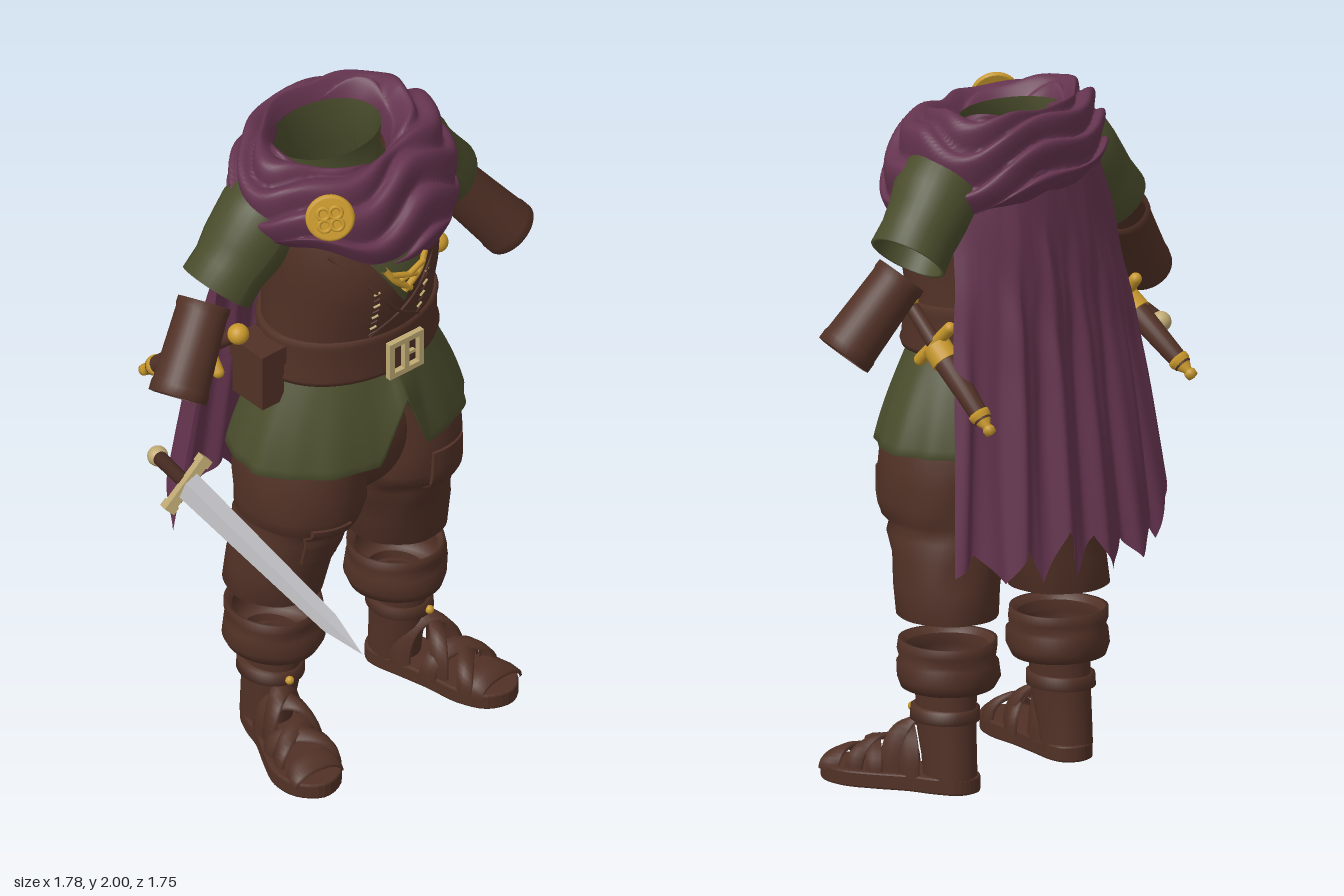
import * as THREE from 'three';

const V = (x, y, z) => new THREE.Vector3(x, y, z);
const mat = (name, color, side = THREE.DoubleSide) => Object.assign(new THREE.MeshStandardMaterial({ color, side }), { name });

// Grid surface through rows of points; wraps round when closed
function loft(rows, closed = true) {
  const n = rows[0].length, pos = [], idx = [];
  rows.forEach(r => r.forEach(p => pos.push(p.x, p.y, p.z)));
  for (let i = 0; i < rows.length - 1; i++)
    for (let j = 0; j < (closed ? n : n - 1); j++) {
      const k = (j + 1) % n, a = i * n + j, b = i * n + k;
      idx.push(a, a + n, b, b, a + n, b + n);
    }
  const g = new THREE.BufferGeometry();
  g.setAttribute('position', new THREE.Float32BufferAttribute(pos, 3));
  g.setIndex(idx);
  g.computeVertexNormals();
  return g;
}
// Oval sections [y, centreX, radiusX, centreZ, radiusZ], listed from top to bottom
function ovals(rows, bump = () => 0, n = 48) {
  return loft(rows.map(([y, cx, rx, cz, rz]) => Array.from({ length: n }, (_, j) => {
    const a = j / n * Math.PI * 2, s = 1 + bump(a, y);
    return V(cx + Math.sin(a) * rx * s, y, cz + Math.cos(a) * rz * s);
  })));
}
// Depth of the front of an oval-section surface
function frontZ(rows, x, y) {
  let i = 0;
  while (i < rows.length - 2 && rows[i + 1][0] > y) i++;
  const t = THREE.MathUtils.clamp((rows[i][0] - y) / (rows[i][0] - rows[i + 1][0]), 0, 1);
  const [, cx, rx, cz, rz] = rows[i].map((v, k) => THREE.MathUtils.lerp(v, rows[i + 1][k], t));
  return cz + rz * Math.sqrt(Math.max(0, 1 - ((x - cx) / rx) ** 2));
}
// Bends a flat geometry onto such a surface
function drape(geo, rows) {
  const p = geo.attributes.position;
  for (let i = 0; i < p.count; i++) p.setZ(i, p.getZ(i) + frontZ(rows, p.getX(i), p.getY(i)));
  geo.computeVertexNormals();
  return geo;
}
// Places a geometry standing on y = 0 so that it runs from a toward b
function along(geo, a, b) {
  const q = new THREE.Quaternion().setFromUnitVectors(V(0, 1, 0), b.clone().sub(a).normalize());
  return geo.applyQuaternion(q).translate(a.x, a.y, a.z);
}
const tube = (pts, r, n = 16) => new THREE.TubeGeometry(new THREE.CatmullRomCurve3(pts), n, r, 8);
const lathe = (pts, n = 32) => new THREE.LatheGeometry(pts.map(p => new THREE.Vector2(...p)), n);
function mirrored(geo) {
  const g = geo.clone().scale(-1, 1, 1), ix = g.index.array;
  for (let i = 0; i < ix.length; i += 3) [ix[i], ix[i + 1]] = [ix[i + 1], ix[i]];
  g.computeVertexNormals();
  return g;
}

export function createModel() {
  const purple = mat('purple cloth', 0x65344f), green = mat('green cloth', 0x4a4d2c);
  const brown = mat('brown leather', 0x513126), dark = mat('dark leather', 0x452920);
  const gold = mat('gold', 0xc8982c), pale = mat('pale brass', 0xc0aa74);
  const steel = mat('steel', 0xb4b4b8, THREE.FrontSide);
  const model = new THREE.Group(), body = new THREE.Group();
  body.name = 'outfit';
  body.position.x = 0.2;
  model.add(body);
  const add = (name, geo, m, parent = body) => {
    const mesh = new THREE.Mesh(geo, m);
    mesh.name = name;
    parent.add(mesh);
  };
  const pair = (name, geo, m) => { add('left ' + name, geo, m); add('right ' + name, mirrored(geo), m); };

  // Jerkin and inner collar
  const jerkin = [[1.92, 0, .19, -.5, .16], [1.85, 0, .25, -.48, .19], [1.75, 0, .27, -.455, .23], [1.65, 0, .268, -.435, .245],
    [1.55, 0, .263, -.435, .238], [1.45, 0, .262, -.44, .217], [1.38, 0, .268, -.445, .205], [1.25, 0, .27, -.45, .2]];
  add('jerkin', ovals(jerkin), brown);
  add('collar', ovals([[1.94, 0, .172, -.532, .128], [1.86, 0, .166, -.53, .122], [1.78, 0, .19, -.51, .15], [1.7, 0, .22, -.48, .19]]), green);

  // Neck opening, lacing and seams
  const on = (x, y, o) => V(x, y, frontZ(jerkin, x, y) + o);
  const line = (pts, o) => pts.map(p => on(p[0], p[1], o));
  add('neck opening', loft([1.7, 1.65, 1.6, 1.53].map(y => line([-1, -.5, 0, .5, 1].map(u => [u * (y - 1.525) * .65, y]), .006)), false), green);
  for (const s of [-1, 1]) {
    add('neck cord', tube(line([[s * .075, 1.67], [s * .045, 1.625], [-s * .012, 1.575]], .012), .01), gold);
    add('neck cross cord', tube(line([[s * .06, 1.65], [0, 1.63], [-s * .03, 1.62]], .014), .009), gold);
    add('jerkin seam', tube(line([[s * .2, 1.72], [s * .1, 1.6], [s * .02, 1.5], [-s * .09, 1.42]], 0), .006), brown);
    for (let i = 0; i < 8; i++) {
      const y = 1.43 + i * .022, x = s * (.085 + .001 * i);
      add('lace stitch', tube(line([[x - .009, y], [x, y + .003], [x + .009, y + .007]], .003), .0035, 4), i % 2 ? pale : dark);
    }
  }

  // Belt, buckle and pouch
  add('belt', ovals([[1.41, 0, .255, -.445, .19], [1.415, 0, .278, -.445, .212], [1.4, 0, .285, -.445, .219], [1.385, 0, .28, -.445, .214],
    [1.3, 0, .283, -.445, .214], [1.285, 0, .29, -.445, .219], [1.27, 0, .285, -.445, .215], [1.265, 0, .255, -.445, .19]]), brown);
  const corners = pts => pts.map(p => new THREE.Vector2(...p));
  const frame = new THREE.Shape(corners([[-.063, -.06], [.063, -.06], [.063, .06], [-.063, .06]]));
  for (const [x0, x1] of [[-.046, -.008], [.008, .046]])
    frame.holes.push(new THREE.Path(corners([[x0, -.043], [x0, .043], [x1, .043], [x1, -.043]])));
  add('buckle', new THREE.ExtrudeGeometry(frame, { depth: .018, bevelEnabled: false }).translate(.005, 1.34, -.208), pale);
  add('buckle prong', new THREE.BoxGeometry(.035, .01, .012).translate(.02, 1.34, -.198), pale);
  add('pouch', new THREE.BoxGeometry(.08, .17, .13).translate(-.315, 1.29, -.46), brown);
  add('pouch flap', new THREE.BoxGeometry(.092, .06, .14).translate(-.315, 1.36, -.46), brown);

  // Tunic skirt with a front notch
  const skirt = [];
  for (let i = 0; i <= 13; i++) {
    const t = Math.min(1, i / 12), tuck = i > 12 ? .97 : 1;
    skirt.push(Array.from({ length: 128 }, (_, j) => {
      const a = j / 128 * Math.PI * 2, e = Math.sin(t * Math.PI / 2) * .4 + t * .6;
      const fold = 1 + .014 * t * Math.sin(9 * a + 1) + .008 * t * Math.sin(17 * a);
      const x = Math.sin(a) * (.26 + .122 * e) * fold * tuck;
      const notch = Math.cos(a) > 0 ? Math.max(0, 1 - Math.abs(x) / .085) * .19 : 0;
      return V(x, 1.28 - t * (.285 - notch), -.445 + Math.cos(a) * (.19 + .072 * e) * fold * tuck);
    }));
  }
  add('tunic skirt', loft(skirt), green);

  // Sleeves and bracers
  const wrinkled = (geo, amp) => {
    const p = geo.attributes.position;
    for (let i = 0; i < p.count; i++) {
      const s = 1 + amp * Math.sin(p.getY(i) * 60 + 2 * Math.atan2(p.getX(i), p.getZ(i)));
      p.setX(i, p.getX(i) * s); p.setZ(i, p.getZ(i) * s);
    }
    geo.computeVertexNormals();
    return geo;
  };
  pair('sleeve', along(wrinkled(lathe([[.085, 0], [.112, .04], [.126, .1], [.127, .16], [.118, .22], [.11, .28], [.112, .35], [.1, .35], [.1, .25]]), .02),
    V(.19, 1.86, -.505), V(.42, 1.595, -.52)), green);
  pair('bracer', along(lathe([[.066, .04], [.068, 0], [.077, 0], [.078, .02], [.075, .03], [.078, .13], [.082, .24], [.085, .25], [.085, .278], [.074, .28], [.07, .2]]),
    V(.455, 1.555, -.53), V(.623, 1.335, -.455)), brown);

  // Wrapped cowl with puffed folds
  const profile = new THREE.CatmullRomCurve3([V(.175, 1.86, .13), V(.185, 1.94, .15), V(.235, 1.985, .19), V(.305, 1.94, .235),
    V(.345, 1.85, .265), V(.35, 1.76, .28), V(.325, 1.715, .265), V(.27, 1.74, .22)]);
  const cowl = [];
  for (let i = 0; i <= 72; i++) {
    const v = i / 72, p = profile.getPoint(v), low = THREE.MathUtils.smoothstep(v, .3, .85);
    cowl.push(Array.from({ length: 128 }, (_, j) => {
      const a = j / 128 * Math.PI * 2, c = Math.cos(a), s = Math.sin(a);
      const wrap = 19 * v + 1.7 * Math.sin(2 * a + 1) + .8 * Math.sin(5 * a) + 1.1 * c;
      const f = .075 * Math.sin(v * Math.PI) * (Math.abs(Math.sin(wrap)) - .62);
      const dip = low * (.045 * c + .035 * s + .03 * Math.exp(-8 * (1 - c)) - .06 * Math.exp(-((a - 5.45) ** 2) * 5))
        + (1 - low) * .04 * Math.max(0, c);
      const cz = THREE.MathUtils.lerp(-.53, -.47, Math.min(1, v * 1.6));
      return V(s * p.x * (1 + f) + .01, p.y - dip + f * .5, cz + c * p.z * (1 + f));
    }));
  }
  add('cowl', loft(cowl), purple);

  // Cowl brooch
  const brooch = new THREE.Group();
  brooch.name = 'brooch';
  brooch.position.set(-.225, 1.89, -.255);
  brooch.quaternion.setFromUnitVectors(V(0, 0, 1), V(-.6, .3, .74).normalize());
  body.add(brooch);
  add('brooch plate', new THREE.CylinderGeometry(.06, .066, .02, 32).rotateX(Math.PI / 2), gold, brooch);
  add('brooch rim', new THREE.TorusGeometry(.06, .01, 10, 36), gold, brooch);
  for (let i = 0; i < 4; i++) {
    const a = Math.PI / 4 + i * Math.PI / 2;
    add('brooch petal', new THREE.TorusGeometry(.017, .006, 8, 16).translate(Math.cos(a) * .025, Math.sin(a) * .025, .014), gold, brooch);
  }

  // Ragged cape, smooth over the shoulders and pleated below
  const cape = [];
  for (let i = 0; i <= 30; i++) {
    const v = i / 30, loose = THREE.MathUtils.smoothstep(v, .12, .75);
    cape.push(Array.from({ length: 141 }, (_, j) => {
      const u = 1 - j / 70, tooth = Math.abs(((u + 1) * 3.5) % 1 * 2 - 1);
      const hem = .64 + .05 * u * u + (.11 + .04 * Math.sin(5 * u)) * (1 - tooth);
      const pleat = loose * (.02 * Math.sin(u * 17 + .8 * Math.sin(v * 3)) + .006 * Math.sin(u * 37 + 1)) + .006 * Math.sin(u * 9 + v * 25) * (1 - loose);
      return V(u * (.255 + .185 * Math.pow(v, .75)) - .02 * v, 1.89 - v * (1.89 - hem), -.722 - .112 * v + .15 * Math.pow(Math.abs(u), 3) + pleat);
    }));
  }
  add('cape', loft(cape, false), purple);

  // Trousers with seat and knee patches
  const leg = [[1.2, .13, .12, -.455, .175], [1.1, .155, .15, -.45, .185], [1, .172, .175, -.445, .202], [.9, .178, .18, -.44, .202],
    [.83, .18, .178, -.44, .2], [.785, .18, .172, -.445, .195], [.765, .185, .155, -.455, .17], [.74, .19, .166, -.46, .172], [.68, .2, .158, -.47, .162],
    [.6, .22, .15, -.485, .151], [.51, .226, .142, -.495, .147], [.508, .226, .125, -.495, .13]];
  pair('trouser leg', ovals(leg, (a, y) => .012 * Math.sin(3 * a + y * 50) + .01 * Math.sin(7 * a - y * 30)), brown);
  add('trouser seat', new THREE.SphereGeometry(1, 40, 28).scale(.24, .22, .178).translate(0, .99, -.445), brown);
  add('left knee patch', drape(new THREE.BoxGeometry(.13, .145, .02, 8, 8, 1).translate(.207, .835, 0), leg), brown);
  add('right knee patch', mirrored(drape(new THREE.BoxGeometry(.115, .14, .02, 8, 10, 1).translate(.217, .74, 0), leg)), brown);

  // Boots: folded cuff, shaft and ankle strap
  const cuff = [[.42, .115], [.437, .128], [.438, .138], [.41, .14], [.385, .134], [.375, .143], [.33, .145], [.3, .132], [.292, .1], [.3, .07]];
  pair('boot cuff', ovals(cuff.map(([y, r]) => [y, .227, r, -.495, r + .003]), (a, y) => .02 * Math.sin(3 * a + y * 45)), brown);
  pair('boot shaft', ovals([[.32, .232, .08, -.495, .097], [.25, .235, .076, -.495, .094], [.17, .237, .073, -.5, .092],
    [.1, .238, .07, -.51, .085], [.04, .238, .07, -.515, .082]]), brown);
  pair('ankle strap', ovals([[.245, .235, .07, -.495, .09], [.243, .238, .09, -.495, .104], [.207, .24, .092, -.495, .104], [.205, .235, .07, -.495, .09]]), brown);
  pair('strap stud', new THREE.SphereGeometry(.013, 12, 8).translate(.26, .225, -.389), gold);

  // Splayed soles and flat crossing foot straps
  const foot = g => g.rotateY(.29).translate(.235, 0, -.52);
  const outline = new THREE.CatmullRomCurve3([[0, .075], [.05, .05], [.068, -.02], [.07, -.1], [.09, -.2], [.1, -.29], [.07, -.365], [0, -.4],
    [-.065, -.36], [-.085, -.27], [-.072, -.17], [-.065, -.06], [-.06, .02], [-.045, .055]].map(p => V(p[0], p[1], 0)), true);
  const solid = new THREE.ExtrudeGeometry(new THREE.Shape(outline.getPoints(56).slice(0, -1).map(p => new THREE.Vector2(p.x, p.y))),
    { depth: .036, bevelSize: .006, bevelThickness: .006, bevelSegments: 2 });
  const sole = foot(solid.rotateX(-Math.PI / 2).translate(0, .006, 0));
  sole.setIndex([...Array(sole.attributes.position.count).keys()]);
  pair('sole', sole, brown);
  // Each strap: [forward, height, half width, skew, ribbon half width]
  for (const [f, h, w, skew, r] of [[.115, .2, .07, .05, .032], [.15, .175, .074, -.05, .028], [.22, .135, .088, .05, .026], [.25, .125, .09, -.045, .024], [.335, .09, .082, .015, .03]]) {
    const arch = (k, o) => Array.from({ length: 21 }, (_, i) => {
      const a = Math.PI * (i / 20), c = -Math.cos(a);
      return V(c * (w + o), .035 + (h + o - .035 - .35 * k) * Math.pow(Math.sin(a), .8), f + c * skew + k);
    });
    pair('foot strap', foot(loft([arch(-r, -.012), arch(-r, 0), arch(0, .004), arch(r, 0), arch(r, -.012)], false)), brown);
  }

  // Sheathed daggers
  function dagger(name, tip, pommel) {
    const g = new THREE.Group();
    g.name = name;
    g.position.copy(tip);
    g.quaternion.setFromUnitVectors(V(0, 1, 0), pommel.clone().sub(tip).normalize());
    add('sheath', lathe([[0, .03], [.026, .05], [.038, .3], [0, .3]], 20), brown, g);
    add('sheath tip', lathe([[0, 0], [.016, .005], [.018, .02], [.013, .03], [.03, .06], [.031, .075], [0, .076]], 16), gold, g);
    add('guard', new THREE.CapsuleGeometry(.018, .16, 6, 12).rotateX(Math.PI / 2).translate(0, .315, 0), gold, g);
    add('sheath throat', new THREE.CylinderGeometry(.042, .042, .055, 20).translate(0, .28, 0), gold, g);
    add('grip', new THREE.CylinderGeometry(.02, .023, .13, 16).translate(0, .385, 0), brown, g);
    add('pommel', new THREE.SphereGeometry(.031, 20, 14).translate(0, .465, 0), gold, g);
    body.add(g);
  }
  dagger('left dagger', V(.34, 1.11, -.77), V(.335, 1.45, -.43));
  dagger('right dagger', V(-.42, 1.13, -.84), V(-.365, 1.44, -.47));

  // Sword pointing forward
  const sword = new THREE.Group(), dir = V(-.4, .24, 1.335).normalize();
  sword.name = 'sword';
  const across = V(.7, .7, .083).addScaledVector(dir, -V(.7, .7, .083).dot(dir)).normalize();
  sword.quaternion.setFromRotationMatrix(new THREE.Matrix4().makeBasis(across, dir, across.clone().cross(dir)));
  sword.position.set(-.485, 1.165, -.465);
  model.add(sword);
  const faceted = g => { const f = g.toNonIndexed(); f.computeVertexNormals(); return f; };
  add('blade', faceted(new THREE.CylinderGeometry(.029, .042, 1, 4, 1, true).scale(1, 1, .25).translate(0, .7, 0)), steel, sword);
  add('blade point', faceted(new THREE.ConeGeometry(.029, .232, 4, 1, true).scale(1, 1, .25).translate(0, 1.316, 0)), steel, sword);
  add('grip', new THREE.CylinderGeometry(.02, .022, .18, 16).translate(0, .1, 0), dark, sword);
  add('crossguard', new THREE.BoxGeometry(.16, .026, .03).translate(0, .2, 0), pale, sword);
  for (const s of [-1, 1]) add('crossguard end', new THREE.BoxGeometry(.025, .034, .036).translate(s * .08, .2, 0), pale, sword);
  add('pommel', new THREE.SphereGeometry(.03, 20, 14), pale, sword);

  return model;
}
